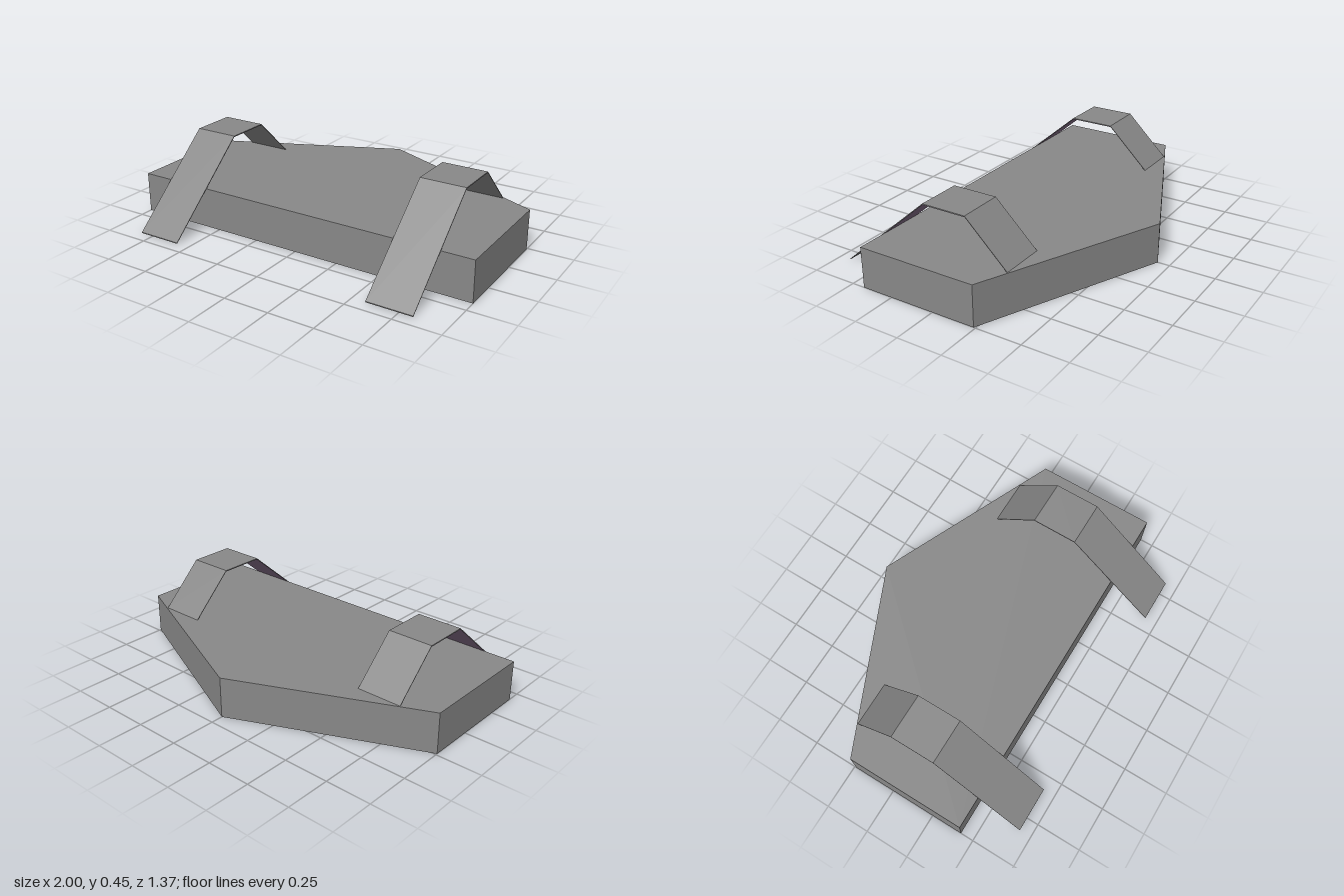
import * as THREE from 'three';

const grey = new THREE.MeshStandardMaterial({ color: 0x888888 });
grey.name = 'grey';
const purple = new THREE.MeshStandardMaterial({ color: 0x806a84 });
purple.name = 'dusky purple';

const makeShape = (points) => new THREE.Shape(points.map(([x, y]) => new THREE.Vector2(x, y)));

// Strap centre line as [z, y], from the front tip up and over to the rear
const strapPath = [[0.683, 0.006], [0.172, 0.45], [-0.077, 0.45], [-0.312, 0.224]];
// Part of the strap above the slab that is lined: upper front panel and top panel
const liningPath = [[0.427, 0.2284], [0.172, 0.45], [-0.077, 0.45]];
const strapWidth = 0.25;

// Thin bent sheet lying between two heights relative to a path
function bentSheet(name, path, top, bottom, material) {
  const outline = [
    ...path.map(([z, y]) => [z, y + top]),
    ...path.map(([z, y]) => [z, y + bottom]).reverse(),
  ];
  const geometry = new THREE.ExtrudeGeometry(makeShape(outline), { depth: strapWidth, bevelEnabled: false });
  geometry.rotateY(-Math.PI / 2);
  geometry.translate(strapWidth / 2, 0, 0);
  const mesh = new THREE.Mesh(geometry, material);
  mesh.name = name;
  return mesh;
}

export function createModel() {
  const model = new THREE.Group();
  model.name = 'slabWithStraps';

  // Five-sided base with its point at the back
  const outline = [[-1, -0.427], [1, -0.427], [1, 0.24], [0, 0.683], [-1, 0.24]];
  const slabGeometry = new THREE.ExtrudeGeometry(makeShape(outline), { depth: 0.224, bevelEnabled: false });
  slabGeometry.rotateX(-Math.PI / 2);
  const slab = new THREE.Mesh(slabGeometry, grey);
  slab.name = 'baseSlab';
  model.add(slab);

  // Bent straps over the front edge, lined inside the loop above the slab
  for (const side of [-1, 1]) {
    const strap = new THREE.Group();
    strap.name = side > 0 ? 'leftStrap' : 'rightStrap';
    strap.add(
      bentSheet('strapBand', strapPath, 0, -0.005, grey),
      bentSheet('strapLining', liningPath, -0.005, -0.006, purple),
    );
    strap.position.x = side * 0.7;
    model.add(strap);
  }
  return model;
}
